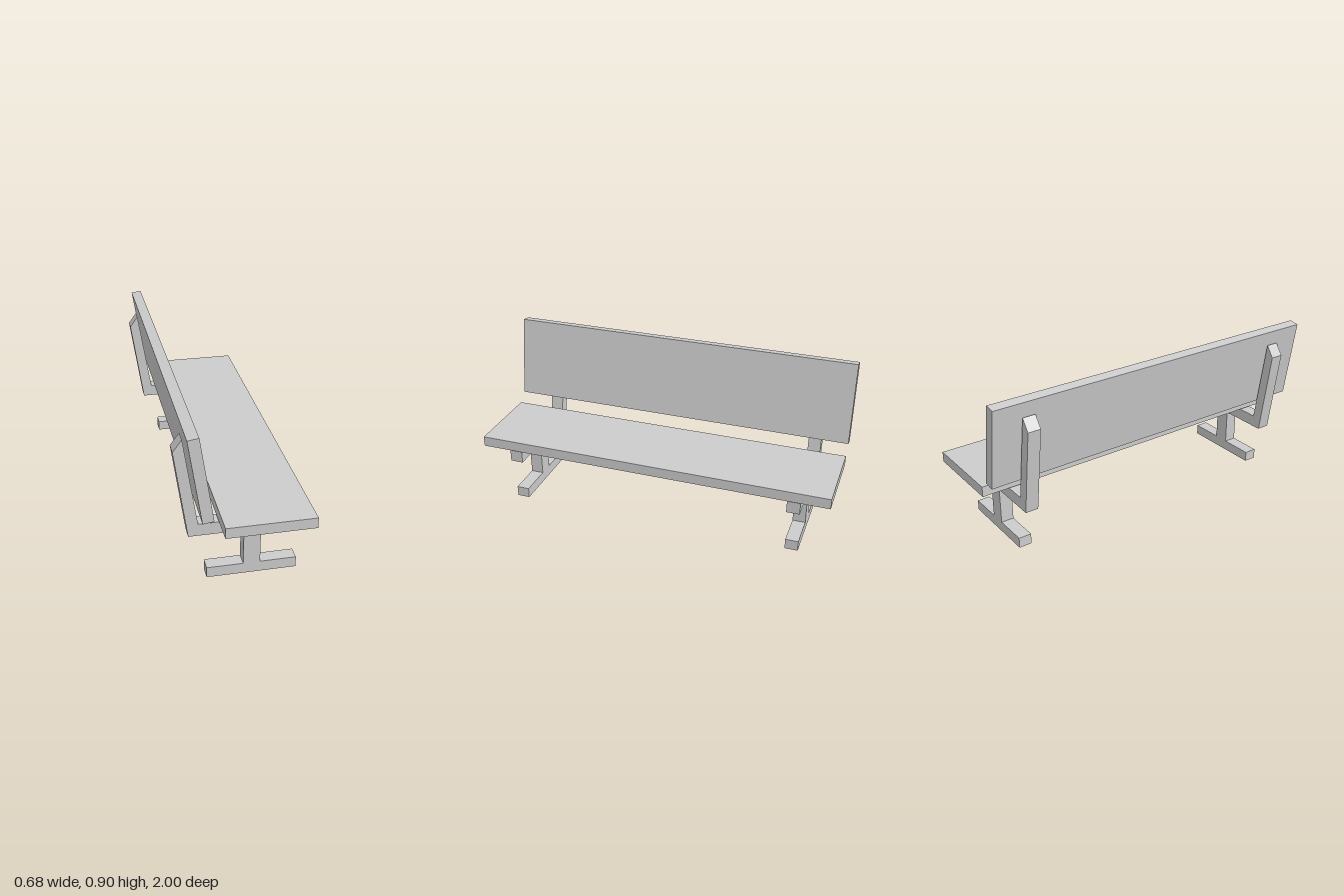
import * as THREE from 'three';

const material = new THREE.MeshStandardMaterial({ color: 0xcccccc, flatShading: true });

// Extrude a side profile (x, y) along z, centred on the given z
function extruded(name, points, depth, z = 0) {
  const shape = new THREE.Shape(points.map(([x, y]) => new THREE.Vector2(x, y)));
  const geometry = new THREE.ExtrudeGeometry(shape, { depth, bevelEnabled: false });
  geometry.translate(0, 0, z - depth / 2);
  const mesh = new THREE.Mesh(geometry, material);
  mesh.name = name;
  return mesh;
}

export function createModel() {
  const bench = new THREE.Group();
  bench.name = 'bench';

  // Seat plank
  const seat = new THREE.Mesh(new THREE.BoxGeometry(0.46, 0.058, 2), material);
  seat.name = 'seat';
  seat.position.set(0.111, 0.367, 0);
  bench.add(seat);

  // Leaning backrest plank
  bench.add(extruded('backrest', [
    [-0.229, 0.435], [-0.172, 0.444], [-0.242, 0.897], [-0.299, 0.888],
  ], 2));

  // Support frames: foot, post, seat arm and back arm in one outline
  const frame = [
    [-0.179, 0], [0.289, 0], [0.289, 0.059], [0.099, 0.059], [0.099, 0.262],
    [0.329, 0.262], [0.329, 0.329], [-0.221, 0.329], [-0.295, 0.808],
    [-0.341, 0.746], [-0.271, 0.262], [0.011, 0.262], [0.011, 0.059], [-0.179, 0.059],
  ];
  for (const [side, z] of [['front', 0.806], ['rear', -0.806]]) {
    bench.add(extruded(`${side}SupportFrame`, frame, 0.072, z));
  }
  return bench;
}
